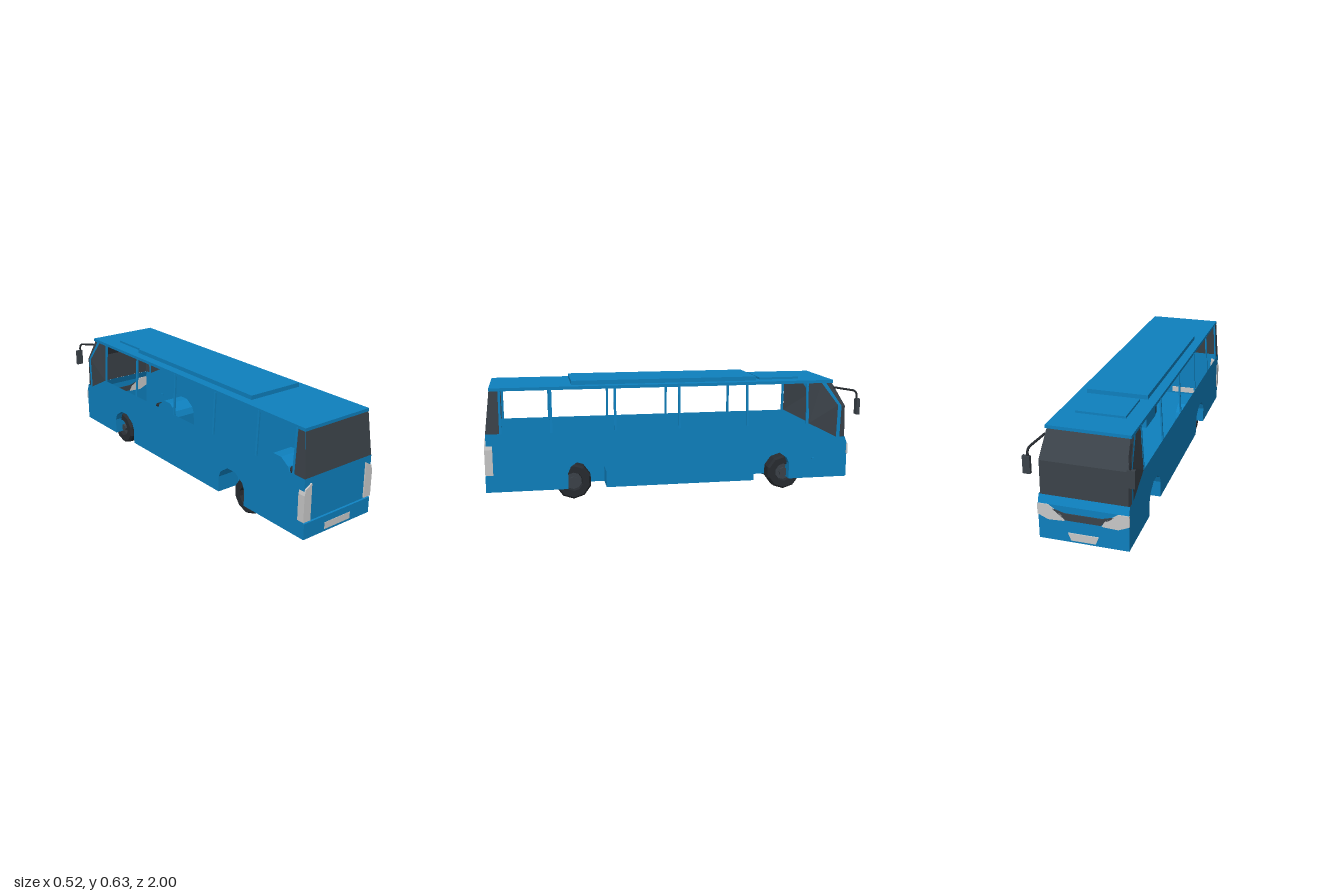
import * as THREE from 'three';

const mat = (name, color) => {
  const m = new THREE.MeshStandardMaterial({ color, side: THREE.DoubleSide, flatShading: true });
  m.name = name;
  return m;
};

export function createModel() {
  const bus = new THREE.Group();
  bus.name = 'bus';
  const blue = mat('bodyBlue', 0x0e80be);
  const glass = mat('darkGlass', 0x3b4249);
  const black = mat('tyreBlack', 0x272b30);
  const pale = mat('lampGrey', 0xc8c8c8);

  const add = (name, geo, material, x = 0, y = 0, z = 0) => {
    const mesh = new THREE.Mesh(geo, material);
    mesh.name = name;
    mesh.position.set(x, y, z);
    bus.add(mesh);
    return mesh;
  };
  const box = (name, material, x0, x1, y0, y1, z0, z1) =>
    add(name, new THREE.BoxGeometry(x1 - x0, y1 - y0, z1 - z0), material,
      (x0 + x1) / 2, (y0 + y1) / 2, (z0 + z1) / 2);
  // Convex face through a loop of 3D corners
  const panel = (name, material, pts) => {
    const pos = [];
    for (let i = 1; i < pts.length - 1; i++) pos.push(...pts[0], ...pts[i], ...pts[i + 1]);
    const g = new THREE.BufferGeometry();
    g.setAttribute('position', new THREE.Float32BufferAttribute(pos, 3));
    g.computeVertexNormals();
    return add(name, g, material);
  };
  const shape = pts => new THREE.Shape(pts.map(p => new THREE.Vector2(...p)));
  // Upright plate facing along z
  const plate = (name, material, pts, z, depth) =>
    add(name, new THREE.ExtrudeGeometry(shape(pts), { depth, bevelEnabled: false }), material, 0, 0, z);
  const mirrorPts = (pts, s) => pts.map(([x, y]) => [x * s, y]);

  const W = 0.22, BASE = 0.065, BELT = 0.37, TOP = 0.59, WELL = 0.09;
  const arch = [[-0.1, BASE], [-0.1, 0.15], [-0.085, 0.185], [-0.03, 0.222],
    [0.03, 0.222], [0.085, 0.185], [0.1, 0.15], [0.1, BASE]];
  const archZ = [-0.52, 0.48];

  // Floor with cut-outs for the wheel wells
  const edge = [[W, -0.95]];
  archZ.forEach(c => edge.push([W, c - 0.1], [WELL, c - 0.1], [WELL, c + 0.1], [W, c + 0.1]));
  edge.push([W, 1]);
  add('floor', new THREE.ShapeGeometry(shape([...edge, ...mirrorPts(edge, -1).reverse()]))
    .rotateX(Math.PI / 2), blue, 0, BASE, 0);

  // Lower side profile in (z, y)
  const side = [[-0.95, BASE]];
  archZ.forEach(c => arch.forEach(([d, y]) => side.push([c + d, y])));
  side.push([1, BASE], [1, 0.147], [0.992, 0.15], [0.992, BELT], [-0.725, BELT],
    [-0.885, 0.29], [-0.935, 0.29], [-0.95, 0.25]);
  const sideGeo = new THREE.ShapeGeometry(shape(side)).rotateY(-Math.PI / 2);
  const capGeo = new THREE.ShapeGeometry(shape(arch)).rotateY(-Math.PI / 2);

  // Rear wall, bumper and rear window
  const across = (name, material, x0, y0, z0, x1, y1, z1) => panel(name, material,
    [[-x0, y0, z0], [x0, y0, z0], [x1, y1, z1], [-x1, y1, z1]]);
  across('rearBumper', blue, W, BASE, 1, W, 0.147, 1);
  across('rearBumperLedge', blue, W, 0.147, 1, W, 0.15, 0.992);
  across('rearWall', blue, W, 0.15, 0.992, W, BELT, 0.992);
  across('rearWindow', glass, 0.217, BELT, 0.992, 0.203, TOP, 0.966);
  plate('rearNumberPlate', pale, [[-0.085, 0.077], [0.085, 0.077], [0.085, 0.112], [-0.085, 0.112]], 0.995, 0.007);

  // Front wall and windscreen
  across('frontWall', blue, W, BASE, -0.95, W, 0.25, -0.95);
  across('frontSlope', blue, W, 0.25, -0.95, W, 0.29, -0.935);
  across('windscreenLower', glass, 0.212, 0.29, -0.936, 0.212, 0.46, -0.932);
  across('windscreenUpper', glass, 0.212, 0.46, -0.932, 0.198, TOP, -0.855);
  plate('grille', glass, [[-0.15, 0.232], [-0.085, 0.18], [0.085, 0.18], [0.15, 0.232], [0.09, 0.215], [-0.09, 0.215]], -0.955, 0.008);
  plate('frontNumberPlate', pale, [[-0.06, 0.077], [0.06, 0.077], [0.075, 0.115], [-0.075, 0.115]], -0.955, 0.008);

  // Roof and roof units
  box('roof', blue, -0.206, 0.206, 0.587, 0.603, -0.86, 0.967);
  box('airConditioner', blue, -0.157, 0.157, 0.6, 0.625, -0.44, 0.55);
  box('roofHatch', blue, -0.125, 0.125, 0.6, 0.614, -0.69, -0.47);

  // Wheel with tread, sidewall and stepped hub, axle along x
  const tyreGeo = new THREE.LatheGeometry([[0.05, -0.042], [0.085, -0.042], [0.095, -0.03],
    [0.095, 0.03], [0.085, 0.042], [0.05, 0.042], [0.045, 0.02], [0.045, -0.02], [0.05, -0.042]]
    .map(p => new THREE.Vector2(...p)), 10).rotateZ(-Math.PI / 2).rotateX(Math.PI / 10);
  const rimGeo = new THREE.CylinderGeometry(0.052, 0.052, 0.04, 10).rotateZ(Math.PI / 2);
  const hubGeo = new THREE.CylinderGeometry(0.02, 0.025, 0.076, 8).rotateZ(Math.PI / 2);

  for (const s of [1, -1]) {
    const n = s > 0 ? 'left' : 'right';
    const sx = y => s * (W - 0.015 * Math.max(0, y - 0.46) / 0.13);
    const sidePanel = (name, material, pts) =>
      panel(n + name, material, pts.map(([z, y, inset = 0]) => [sx(y) - s * inset, y, z]));
    add(n + 'SideWall', sideGeo, blue, s * W);

    // Wheel wells and the wheels, set a little towards the ends
    archZ.forEach((c, i) => {
      add(n + 'WheelWellCap', capGeo, blue, s * WELL, 0, c);
      for (let k = 0; k < arch.length - 1; k++) {
        const [a, ya] = arch[k], [b, yb] = arch[k + 1];
        panel(n + 'WheelWell', blue, [[s * W, ya, c + a], [s * WELL, ya, c + a],
          [s * WELL, yb, c + b], [s * W, yb, c + b]]);
      }
      const z = i ? 0.55 : -0.605;
      add(n + 'Tyre', tyreGeo, black, s * 0.139, 0.092, z);
      add(n + 'Rim', rimGeo, glass, s * 0.139, 0.092, z);
      add(n + 'Hub', hubGeo, glass, s * 0.139, 0.092, z);
    });

    // Window pillars between the open side windows
    for (const z of [0.916, 0.66, 0.33, -0.01, -0.38, -0.716]) {
      add(n + 'Pillar', new THREE.BoxGeometry(0.008, 0.225, 0.012), blue, s * 0.21, 0.48, z)
        .rotation.z = s * 0.06;
    }
    sidePanel('RearQuarterWindow', glass, [[0.92, BELT, 0.002], [0.992, BELT, 0.002], [0.966, TOP], [0.92, TOP]]);

    // Cab window, front pillar and wrapped windscreen edge
    sidePanel('CabWindow', glass, [[-0.725, BELT], [-0.885, 0.29], [-0.89, 0.465], [-0.795, TOP], [-0.725, TOP]]);
    sidePanel('FrontPillarLower', blue, [[-0.885, 0.29], [-0.905, 0.29], [-0.91, 0.46], [-0.89, 0.465]]);
    sidePanel('FrontPillarUpper', blue, [[-0.89, 0.465], [-0.91, 0.46], [-0.82, TOP], [-0.795, TOP]]);
    sidePanel('WindscreenEdgeLower', glass, [[-0.905, 0.29], [-0.936, 0.29, 0.008], [-0.932, 0.46, 0.008], [-0.91, 0.46]]);
    sidePanel('WindscreenEdgeUpper', glass, [[-0.91, 0.46], [-0.932, 0.46, 0.008], [-0.855, TOP, 0.007], [-0.82, TOP]]);

    // Lamps
    plate(n + 'TailLamp', pale, mirrorPts([[0.18, 0.155], [0.225, 0.155], [0.225, 0.29], [0.217, 0.32], [0.18, 0.342]], s), 0.96, 0.04);
    plate(n + 'HeadLamp', pale, mirrorPts([[0.222, 0.25], [0.222, 0.195], [0.17, 0.172], [0.09, 0.176], [0.105, 0.205], [0.17, 0.25]], s), -0.955, 0.009);

    // Mirror on a bent arm
    const path = new THREE.CurvePath();
    const bend = [[0.205, 0.562, -0.865], [0.232, 0.545, -0.975], [0.238, 0.53, -0.985], [0.238, 0.49, -0.988]]
      .map(([x, y, z]) => new THREE.Vector3(s * x, y, z));
    for (let i = 0; i < 3; i++) path.add(new THREE.LineCurve3(bend[i], bend[i + 1]));
    add(n + 'MirrorArm', new THREE.TubeGeometry(path, 16, 0.006, 5), black);
    add(n + 'Mirror', new THREE.BoxGeometry(0.036, 0.086, 0.018), glass, s * 0.244, 0.461, -0.988);
  }

  // Door handle
  box('doorHandle', blue, 0.218, 0.226, 0.17, 0.18, -0.775, -0.75);
  return bus;
}
